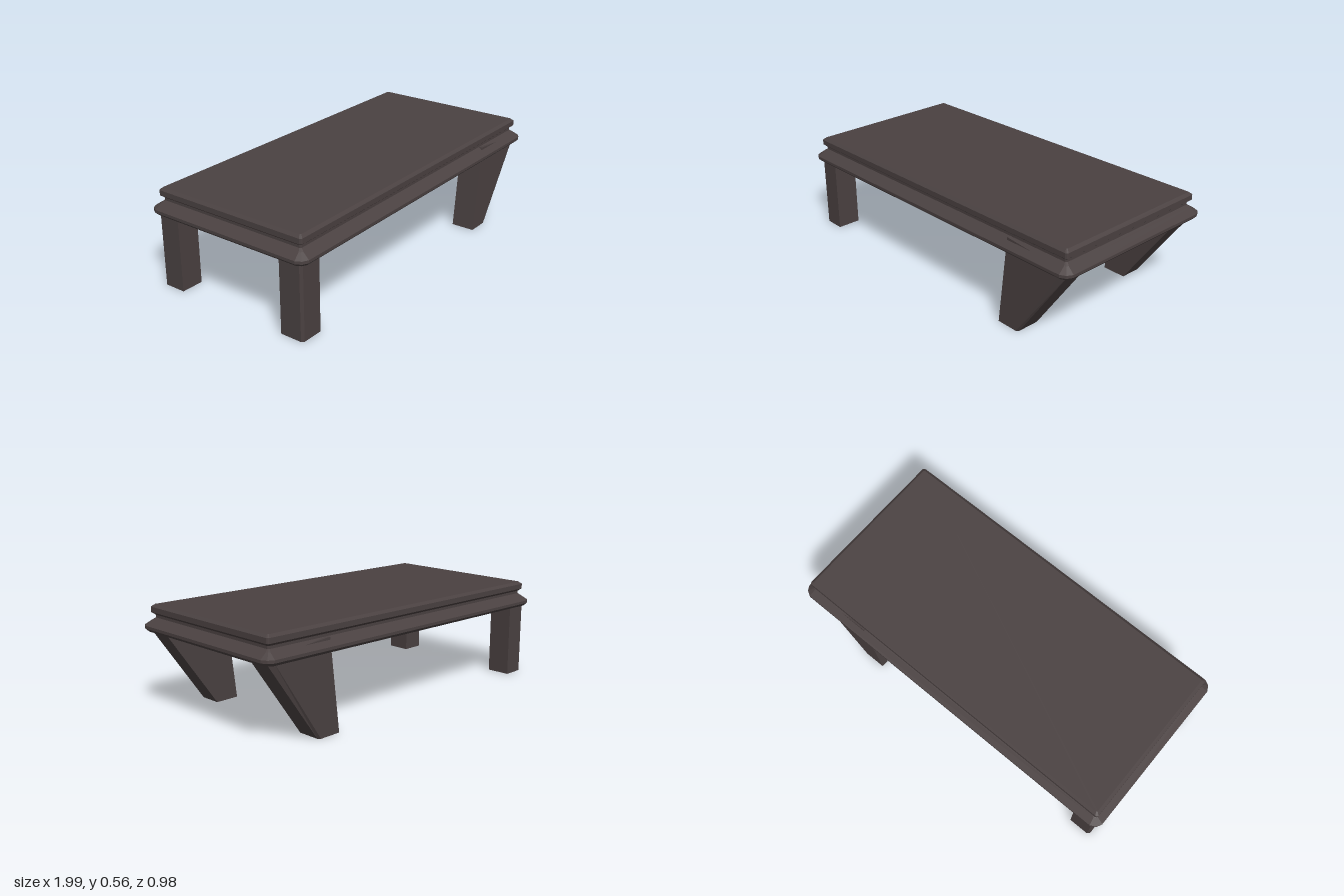
import * as THREE from 'three';

const TILT = 0.0137; // the table top rises slightly towards +x

// Skin a stack of convex rings (bottom to top, each running from +x to -z) and cap both ends
function loft(rings, material) {
  const n = rings[0].length;
  const pos = [];
  const tri = (a, b, c) => pos.push(...a, ...b, ...c);
  for (let r = 0; r < rings.length - 1; r++) {
    for (let i = 0; i < n; i++) {
      const j = (i + 1) % n;
      const [a, b, c, d] = [rings[r][i], rings[r][j], rings[r + 1][j], rings[r + 1][i]];
      tri(a, b, c);
      tri(a, c, d);
    }
  }
  const low = rings[0], high = rings[rings.length - 1];
  for (let i = 1; i < n - 1; i++) {
    tri(low[0], low[i + 1], low[i]);
    tri(high[0], high[i], high[i + 1]);
  }
  const geometry = new THREE.BufferGeometry();
  geometry.setAttribute('position', new THREE.Float32BufferAttribute(pos, 3));
  geometry.computeVertexNormals();
  return new THREE.Mesh(geometry, material);
}

// Rectangle with cut corners, sheared along the tilt
function slabRing([halfZ, y, cut]) {
  const halfX = halfZ + 0.506;
  const ring = [];
  for (const [sx, sz] of [[1, 1], [1, -1], [-1, -1], [-1, 1]]) {
    const alongX = [sx * (halfX - cut), sz * halfZ];
    const mid = [sx * (halfX - cut * 0.35), sz * (halfZ - cut * 0.35)];
    const alongZ = [sx * halfX, sz * (halfZ - cut)];
    const corner = sx === sz ? [alongX, mid, alongZ] : [alongZ, mid, alongX];
    for (const [x, z] of corner) ring.push([x, y + TILT * x, z]);
  }
  return ring;
}

// Leg section between x0 (inner) and x1 (outer), with a chamfered outside corner
function legRing(x0, x1, y0, y1, side, chamfer) {
  const zi = 0.325, zo = 0.456, dir = Math.sign(x1 - x0);
  const yAt = (x) => y0 + ((y1 - y0) * (x - x0)) / (x1 - x0);
  const points = [
    [x0, zi], [x0, zo], [x1 - dir * chamfer, zo], [x1, zo - 0.012], [x1, zi],
  ].map(([x, z]) => [x, yAt(x), z * side]);
  return dir * side > 0 ? points : points.reverse();
}

export function createModel() {
  const group = new THREE.Group();
  group.name = 'lowTable';
  const wood = new THREE.MeshStandardMaterial({ color: 0x4a4141, flatShading: true });

  // Moulded top: flared lip, groove, chamfered slab [halfDepth, height, cornerCut]
  const profile = [
    [0.455, 0.417, 0.03],
    [0.474, 0.407, 0.035],
    [0.49, 0.423, 0.045],
    [0.49, 0.438, 0.045],
    [0.452, 0.464, 0.015],
    [0.436, 0.475, 0.008],
    [0.436, 0.489, 0.008],
    [0.453, 0.503, 0.01],
    [0.453, 0.53, 0.01],
    [0.437, 0.543, 0.006],
  ];
  const top = loft(profile.map(slabRing), wood);
  top.name = 'tableTop';
  group.add(top);

  for (const side of [1, -1]) {
    const end = side > 0 ? 'Front' : 'Back';

    // Straight post
    const post = loft([
      legRing(-0.84, -0.965, 0, 0, side, 0.012),
      legRing(-0.84, -0.965, 0.43, 0.43, side, 0.012),
    ], wood);
    post.name = 'straightLeg' + end;
    group.add(post);

    // Wedge leg, widening upwards; its inner top edge just shows in the groove
    const wedge = loft([
      legRing(0.53, 0.662, 0, 0, side, 0.012),
      legRing(0.586, 0.98, 0.484, 0.453, side, 0.035),
    ], wood);
    wedge.name = 'wedgeLeg' + end;
    group.add(wedge);
  }
  return group;
}
